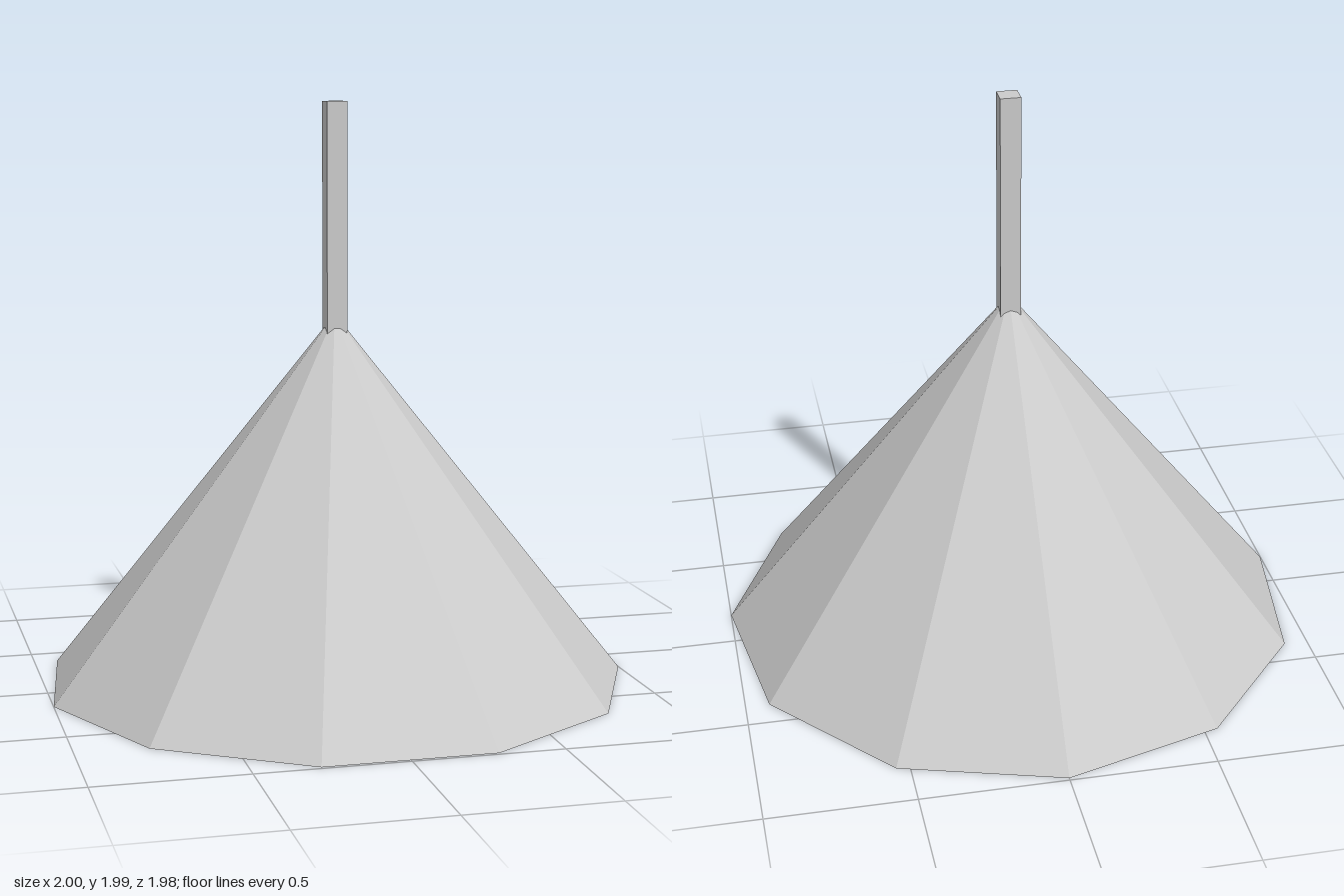
import * as THREE from 'three';

export function createModel() {
  const model = new THREE.Group();
  const material = new THREE.MeshStandardMaterial({ color: 0xcccccc, flatShading: true });
  const sides = 11;
  const centreZ = 0.02;

  const add = (name, geometry, y) => {
    const mesh = new THREE.Mesh(geometry, material);
    mesh.name = name;
    mesh.position.set(0, y, centreZ);
    model.add(mesh);
  };

  // Thick conical shade: inner apex, inner rim, outer rim, outer apex
  const profile = [[0, 1.06], [0.84, 0], [1.01, 0], [0, 1.27]];
  add('shade', new THREE.LatheGeometry(
    profile.map(([r, y]) => new THREE.Vector2(r, y)), sides, Math.PI), 0);

  // Square hanging rod, carried down through the shade to hold the bulb
  const rodTop = 1.99, rodBottom = 0.65;
  add('hangingRod', new THREE.BoxGeometry(0.07, rodTop - rodBottom, 0.07),
    (rodTop + rodBottom) / 2);

  // Faceted bulb inside the shade
  add('bulb', new THREE.SphereGeometry(0.29, sides, 7, Math.PI / 2), 0.41);

  return model;
}
